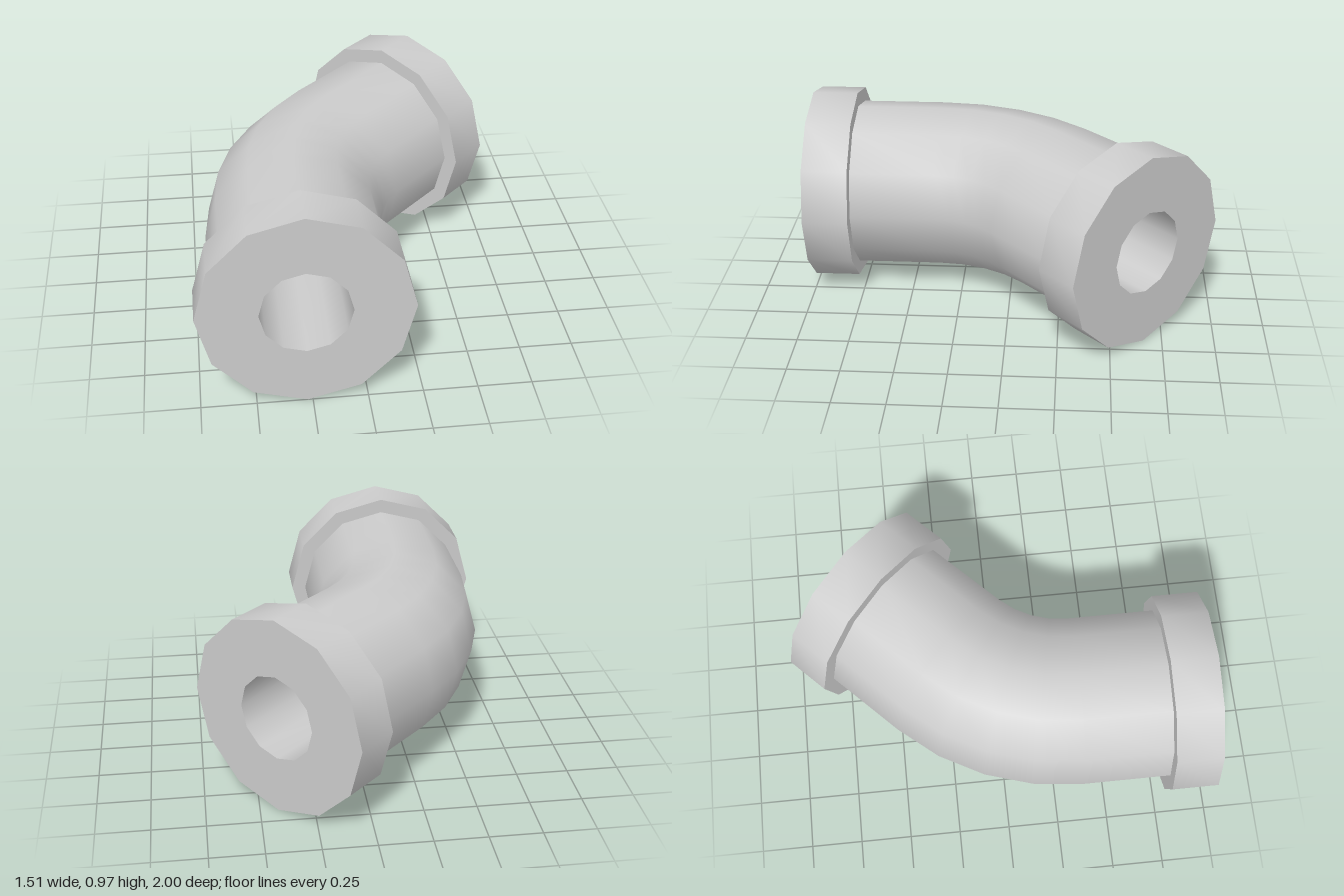
import * as THREE from 'three';
import { toCreasedNormals } from 'three/addons/utils/BufferGeometryUtils.js';

const SIDES = 12, START_X = -0.272, AXIS_Y = 0.483;
const STRAIGHT = 0.637, BEND_R = 0.81, BEND = Math.PI / 4, BEND_STEPS = 4;
const ARC = BEND_R * BEND, LENGTH = STRAIGHT * 2 + ARC;
const FLANGE_R = 0.483, PIPE_R = 0.413, BORE_R = 0.207, FLANGE_LEN = 0.222;

// Point and heading on the centre line: straight, 45 degree bend, straight
function frame(s) {
  const a = THREE.MathUtils.clamp((s - STRAIGHT) / BEND_R, 0, BEND);
  const extra = Math.max(0, s - STRAIGHT - ARC);
  return {
    a,
    x: START_X + BEND_R * (1 - Math.cos(a)) + extra * Math.sin(a),
    z: 1 - Math.min(s, STRAIGHT) - BEND_R * Math.sin(a) - extra * Math.cos(a),
  };
}

// Skin twelve-sided rings, each given as [distance along the pipe, radius]
function loft(rings) {
  const pos = [], index = [];
  rings.forEach(([s, r], i) => {
    const f = frame(s);
    for (let j = 0; j < SIDES; j++) {
      const t = (j / SIDES) * Math.PI * 2, u = r * Math.cos(t);
      pos.push(f.x + u * Math.cos(f.a), AXIS_Y + r * Math.sin(t), f.z + u * Math.sin(f.a));
      if (i === 0) continue;
      const k = (j + 1) % SIDES, p = (i - 1) * SIDES, q = i * SIDES;
      index.push(p + j, q + j, p + k, p + k, q + j, q + k);
    }
  });
  const g = new THREE.BufferGeometry();
  g.setAttribute('position', new THREE.Float32BufferAttribute(pos, 3));
  g.setIndex(index);
  return toCreasedNormals(g, 0.8);
}

export function createModel() {
  const group = new THREE.Group();
  group.name = 'pipeElbow';
  const material = new THREE.MeshStandardMaterial({ color: 0xcccccc });
  const add = (name, rings) => {
    const mesh = new THREE.Mesh(loft(rings), material);
    mesh.name = name;
    group.add(mesh);
  };

  // Ring positions through the bend
  const bend = Array.from({ length: BEND_STEPS + 1 }, (_, i) => STRAIGHT + (ARC * i) / BEND_STEPS);

  // Outer wall between the flanges
  add('pipe', [FLANGE_LEN, ...bend, LENGTH - FLANGE_LEN].map((s) => [s, PIPE_R]));

  // Inner wall, in reverse order so that it faces the hollow
  add('bore', [0, ...bend, LENGTH].reverse().map((s) => [s, BORE_R]));

  // Flange collars with open end faces
  add('frontFlange', [[0, BORE_R], [0, FLANGE_R], [FLANGE_LEN, FLANGE_R], [FLANGE_LEN, PIPE_R]]);
  const inner = LENGTH - FLANGE_LEN;
  add('backFlange', [[inner, PIPE_R], [inner, FLANGE_R], [LENGTH, FLANGE_R], [LENGTH, BORE_R]]);

  return group;
}
